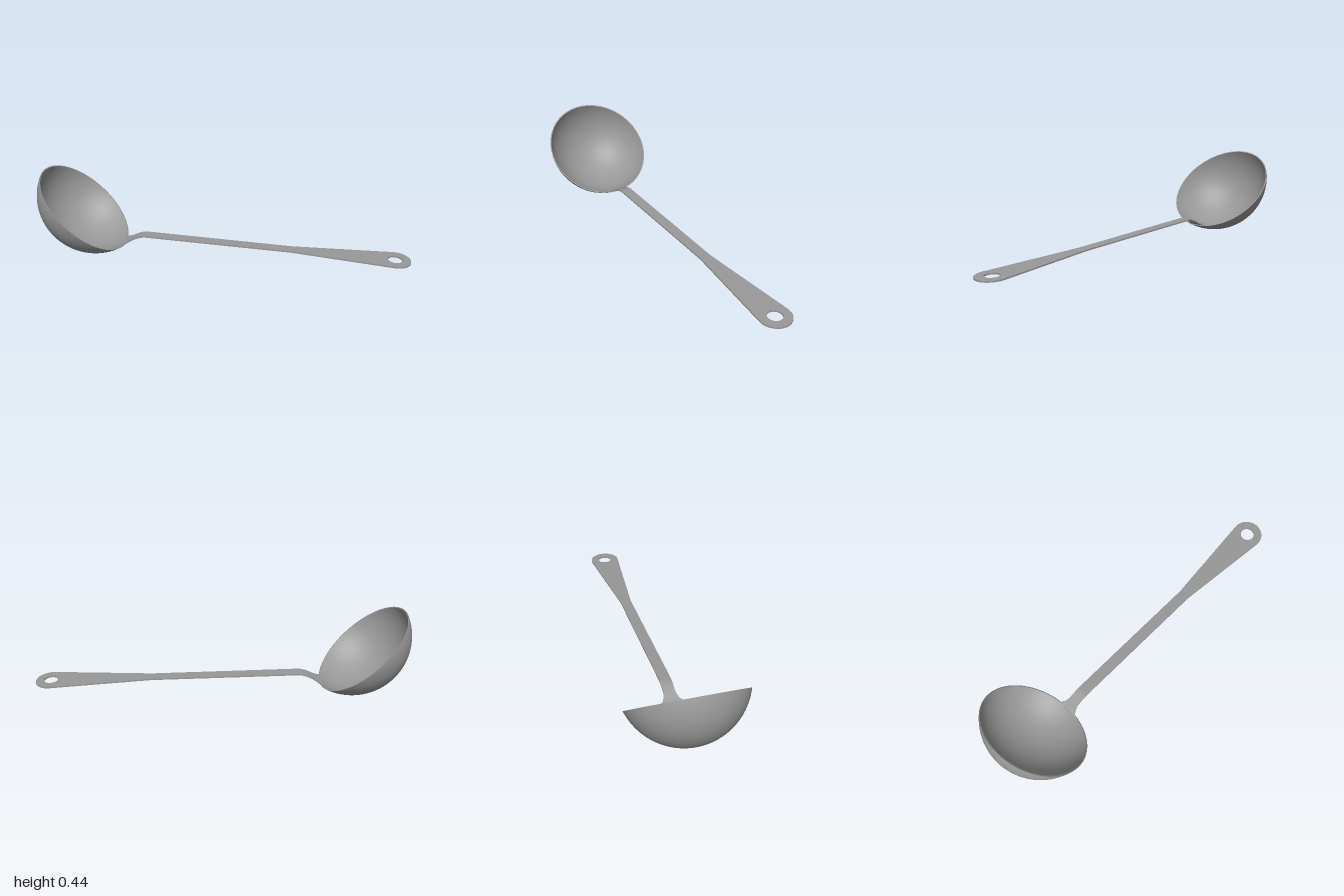
import * as THREE from 'three';
import { toCreasedNormals } from 'three/addons/utils/BufferGeometryUtils.js';

const THICK = 0.008;     // sheet thickness of the handle
const SHAFT_HALF = 0.03; // half width of the slim shaft
const NECK_X = -0.55, FLARE_X = 0.37;

// Height of the handle's middle: a straight slope that dips to the bowl rim.
function handleY(x) {
  const line = 0.094 - (x + 0.4) * 0.0465;
  return THREE.MathUtils.lerp(0.038, line, THREE.MathUtils.smoothstep(x, -0.59, -0.42));
}

// Half width of the shaft, with a fillet where it joins the bowl.
function shaftHalf(x) {
  const u = THREE.MathUtils.clamp((-0.485 - x) / 0.066, 0, 1);
  return SHAFT_HALF + 0.048 * (1 - Math.sqrt(1 - u * u));
}

// Move every vertex of a geometry by a rule.
function deform(geometry, rule) {
  const p = geometry.attributes.position;
  const v = new THREE.Vector3();
  for (let i = 0; i < p.count; i++) {
    rule(v.fromBufferAttribute(p, i));
    p.setXYZ(i, v.x, v.y, v.z);
  }
  return toCreasedNormals(geometry, 0.6);
}

// Hollow spherical cap, turned about its own axis.
function bowlGeometry() {
  const outer = 0.31, inner = 0.304, rimDrop = 0.095, steps = 32;
  const points = [];
  const arc = (radius, from, to) => {
    for (let i = 0; i <= steps; i++) {
      const a = THREE.MathUtils.lerp(from, to, i / steps);
      points.push(new THREE.Vector2(radius * Math.sin(a), -radius * Math.cos(a)));
    }
  };
  arc(outer, 0, Math.acos(rimDrop / outer));
  arc(inner, Math.acos(rimDrop / inner), 0);
  return toCreasedNormals(new THREE.LatheGeometry(points, 96), 0.6);
}

// Strip that bends in height and flares into the bowl rim.
function shaftGeometry() {
  const box = new THREE.BoxGeometry(1, THICK, 2, 120, 1, 8);
  return deform(box, (v) => {
    // Closer spacing of sections towards the neck
    const x = THREE.MathUtils.lerp(NECK_X, FLARE_X, Math.pow(v.x + 0.5, 1.8));
    v.z *= shaftHalf(x);
    v.x = x;
    v.y += handleY(x);
  });
}

// Widening grip with a round end and a hanging hole.
function gripGeometry() {
  const r = 0.083, cx = 1 - r, lean = Math.PI / 2 + 0.1, steps = 40;
  const arcPoint = (radius, a) => new THREE.Vector2(cx + radius * Math.cos(a), radius * Math.sin(a));
  const outline = [new THREE.Vector2(FLARE_X, -SHAFT_HALF)];
  const ring = [];
  for (let i = 0; i <= steps; i++) outline.push(arcPoint(r, lean * (2 * i / steps - 1)));
  outline.push(new THREE.Vector2(FLARE_X, SHAFT_HALF));
  for (let i = 0; i < steps; i++) ring.push(arcPoint(0.038, -2 * Math.PI * i / steps));
  const shape = new THREE.Shape(outline);
  shape.holes.push(new THREE.Path(ring));
  const geometry = new THREE.ExtrudeGeometry(shape, { depth: THICK, bevelEnabled: false });
  geometry.rotateX(-Math.PI / 2);
  return deform(geometry, (v) => { v.y += handleY(v.x) - THICK / 2; });
}

export function createModel() {
  const model = new THREE.Group();
  model.name = 'ladle';
  const material = new THREE.MeshStandardMaterial({ color: 0x989898 });
  const add = (name, geometry, parent) => {
    const mesh = new THREE.Mesh(geometry, material);
    mesh.name = name;
    parent.add(mesh);
    return mesh;
  };

  // Bowl, tipped so that its mouth opens towards the handle
  const bowl = add('bowl', bowlGeometry(), model);
  bowl.position.set(-0.69, 0.312, 0);
  bowl.rotation.z = -0.748;

  // Handle, set very slightly askew to the bowl
  const handle = new THREE.Group();
  handle.name = 'handle';
  handle.position.z = -0.004;
  handle.rotation.y = 0.004;
  add('shaft', shaftGeometry(), handle);
  add('grip', gripGeometry(), handle);
  model.add(handle);

  return model;
}
